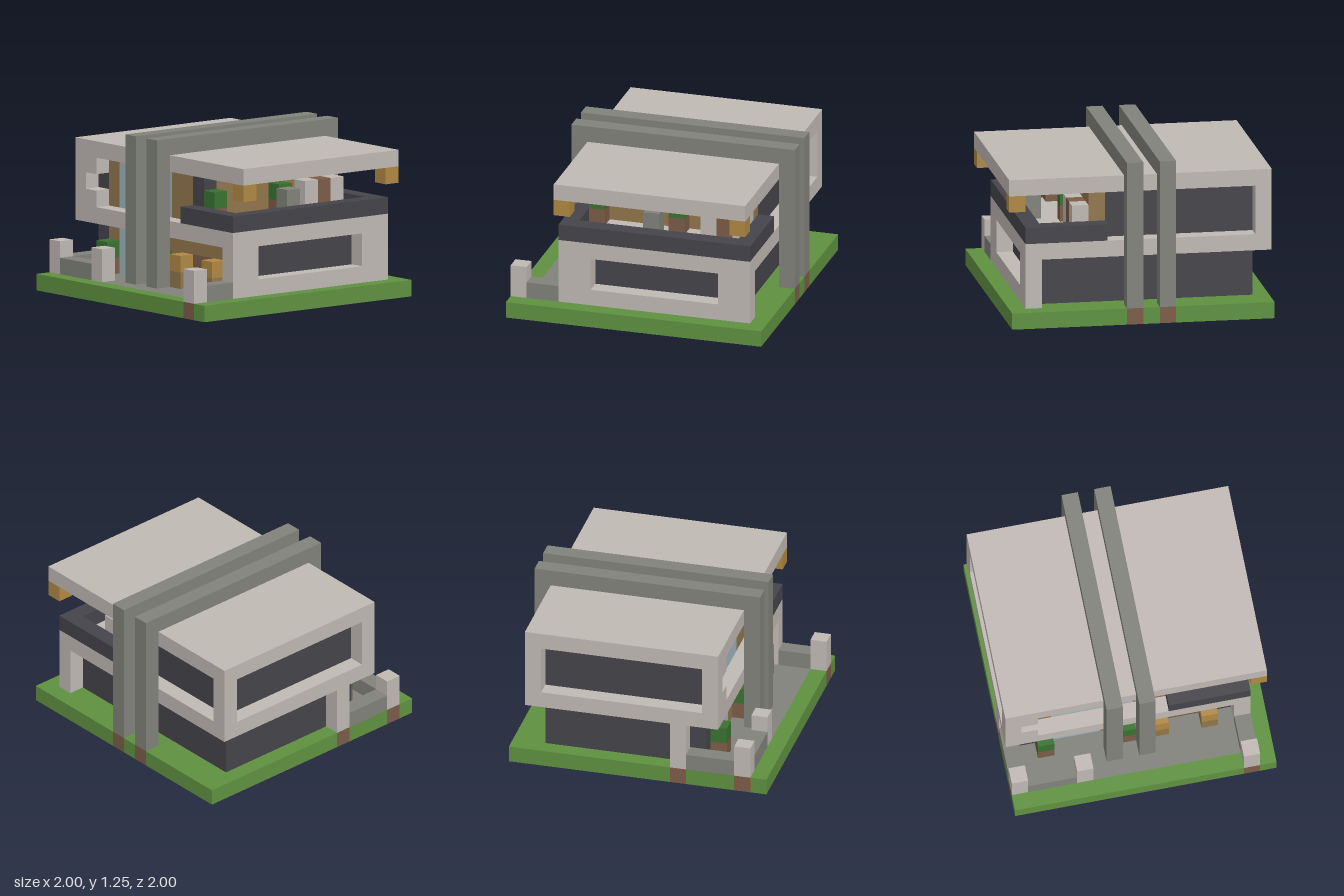
import * as THREE from 'three';

const U = 0.125; // one block

export function createModel() {
  const model = new THREE.Group();
  model.name = 'blockHouse';

  const mat = (name, color) => {
    const m = new THREE.MeshStandardMaterial({ color });
    m.name = name;
    return m;
  };
  const light = mat('paleConcrete', 0xc0b9b4);
  const grey = mat('greyStone', 0x80827a);
  const dark = mat('darkPanel', 0x45444a);
  const wood = mat('woodCladding', 0x92764c);
  const ochre = mat('ochreLamp', 0xb08843);
  const brown = mat('brownEarth', 0x7b5c47);
  const grass = mat('grass', 0x5f9140);
  const leaf = mat('leaves', 0x3a7230);
  const glass = mat('glass', 0x9db5c0);

  // Box between block coordinates: x and z run 0..16, y runs 0..10
  const box = (name, m, [x0, x1], [y0, y1], [z0, z1]) => {
    const mesh = new THREE.Mesh(
      new THREE.BoxGeometry((x1 - x0) * U, (y1 - y0) * U, (z1 - z0) * U), m);
    mesh.position.set((x0 + x1) * U / 2 - 1, (y0 + y1) * U / 2, (z0 + z1) * U / 2 - 1);
    mesh.name = name;
    model.add(mesh);
  };
  const cube = (name, m, x, y, z) => box(name, m, [x, x + 1], [y, y + 1], [z, z + 1]);

  // Ground: rows of equal cells become one box each
  const groundAt = (x, z) => {
    if (x >= 2 && x < 13 && z >= 3 && z < 11) return wood;
    if (x >= 1 && x < 14 && z >= 2 && z < 12) return dark;
    if (x >= 1 && x < 14 && z >= 12 && z < 15) return grey;
    if (x === 14 && ((z >= 1 && z < 13) || z === 15)) return brown;
    if (x === 0 && (z === 10 || z === 14)) return brown;
    if ((x === 6 || x === 8) && z === 0) return brown;
    return grass;
  };
  for (let z = 0; z < 16; z++) {
    for (let x = 0, end; x < 16; x = end) {
      const m = groundAt(x, z);
      end = x + 1;
      while (end < 16 && groundAt(end, z) === m) end++;
      box('ground', m, [x, end], [0, 1], [z, z + 1]);
    }
  }

  // Lower storey: dark core with a clad front
  box('lowerCore', dark, [1, 14], [1, 4], [2, 11]);
  const lowerFront = [
    [dark, 1, 2], [wood, 2, 3], [glass, 3, 6], [wood, 6, 10], [wood, 12, 13], [dark, 13, 14],
  ];
  for (const [m, a, b] of lowerFront) box('lowerFront', m, [a, b], [1, 4], [11, 12]);
  box('door', brown, [10, 12], [1, 3], [11, 12]);
  box('doorLintel', wood, [10, 12], [3, 4], [11, 12]);

  // Side wall with a deep window opening, and the corner post opposite
  box('sideWallSill', light, [14, 15], [1, 2], [1, 13]);
  box('sideWallBack', light, [14, 15], [2, 4], [1, 3]);
  box('sideWallFront', light, [14, 15], [2, 4], [11, 13]);
  box('cornerPost', light, [0, 1], [1, 4], [10, 11]);

  // Floor slab and roof
  box('upperSlab', light, [0, 15], [4, 5], [1, 13]);
  box('roof', light, [0, 16], [8, 9], [1, 13]);

  // Upper storey: dark core, clad front and terrace wall
  box('upperCore', dark, [1, 10], [5, 8], [2, 11]);
  const upperFront = [[dark, 1, 2], [wood, 2, 3], [glass, 3, 8], [wood, 8, 10], [dark, 10, 11]];
  for (const [m, a, b] of upperFront) box('upperFront', m, [a, b], [5, 8], [11, 12]);
  const terraceWall = [[wood, 2, 6], [dark, 6, 7], [wood, 7, 11]];
  for (const [m, a, b] of terraceWall) box('terraceWall', m, [10, 11], [5, 8], [a, b]);

  // Pale frame posts with small notch blocks
  for (const z of [1, 12]) box('framePost', light, [0, 1], [5, 8], [z, z + 1]);
  for (const y of [5, 7]) cube('frameBlock', light, 1, y, 12);

  // Terrace parapet on three sides
  box('parapetFront', dark, [10, 15], [5, 6], [12, 13]);
  box('parapetBack', dark, [10, 15], [5, 6], [1, 2]);
  box('parapetSide', dark, [14, 15], [5, 6], [2, 12]);

  // Paired stone arches over the house
  for (const x of [6, 8]) {
    box('archBeam', grey, [x, x + 1], [9, 10], [0, 14]);
    for (const z of [0, 13]) box('archPost', grey, [x, x + 1], [1, 9], [z, z + 1]);
  }

  // Potted shrubs
  for (const [x, y, z] of [[2, 1, 12], [7, 1, 12], [11, 5, 11], [11, 5, 6]]) {
    cube('shrubPot', brown, x, y, z);
    cube('shrub', leaf, x, y + 1, z);
  }

  // Lamps beside the door and hanging under the roof
  for (const x of [9, 12]) {
    cube('lampBase', wood, x, 1, 12);
    cube('lamp', ochre, x, 2, 12);
  }
  for (const z of [1, 12]) cube('hangingLamp', ochre, 15, 7, z);

  // Terrace furniture
  for (const z of [2, 4]) box('chair', light, [11, 12], [5, 7], [z, z + 1]);
  box('table', brown, [11, 12], [5, 7], [3, 4]);
  box('grill', grey, [13, 14], [5, 7], [7, 8]);

  // Low garden walls and bollards
  box('gardenWallLeft', grey, [0, 1], [1, 2], [11, 14]);
  box('gardenWallFront', grey, [1, 4], [1, 2], [14, 15]);
  box('gardenWallRight', grey, [14, 15], [1, 2], [13, 15]);
  for (const [x, z] of [[0, 14], [4, 14], [14, 15]]) {
    box('bollard', light, [x, x + 1], [1, 3], [z, z + 1]);
  }

  return model;
}
